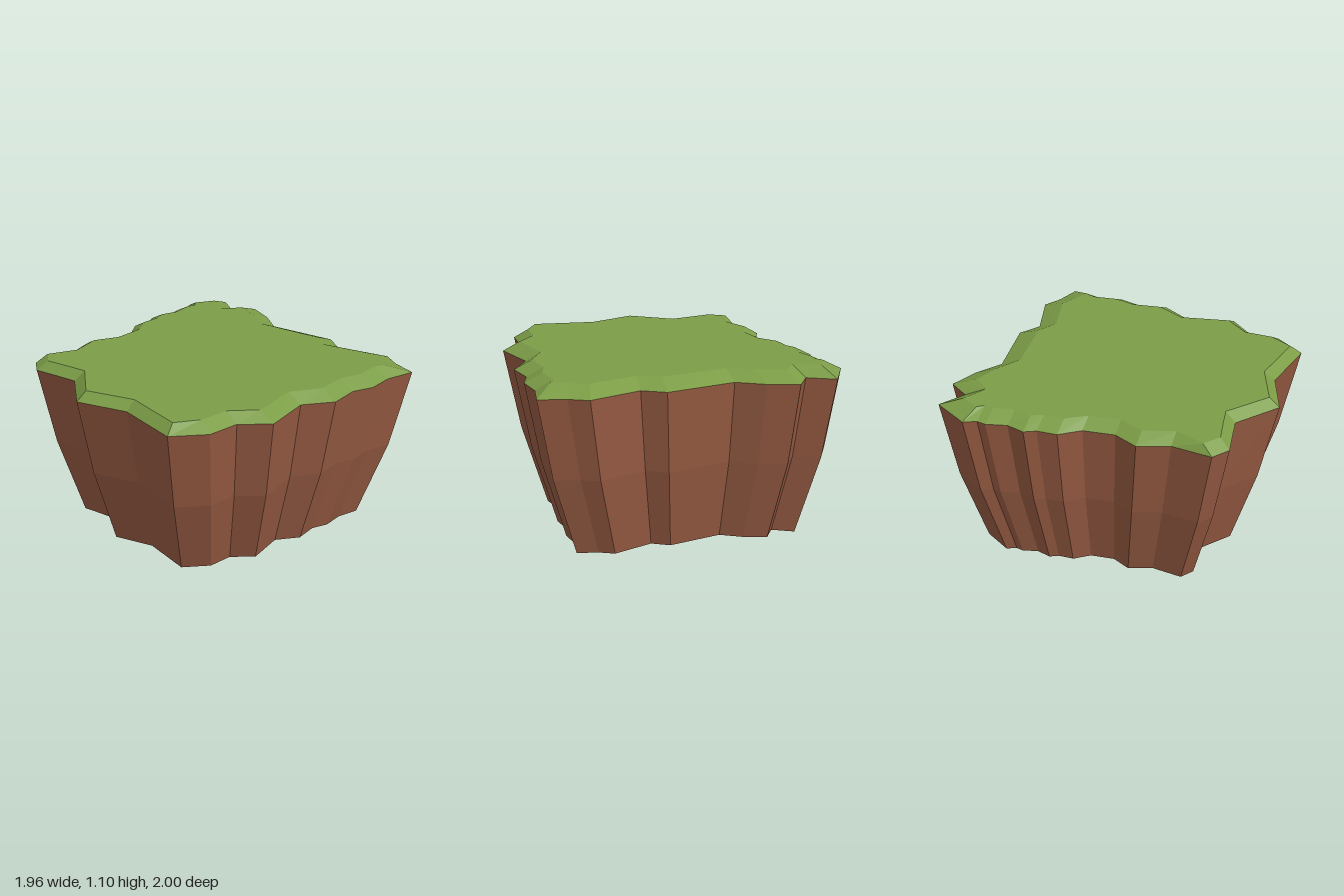
import * as THREE from 'three';

// Jagged outline at the rim, as x, z pairs, clockwise from above
const OUTLINE = [
  [-0.98, -0.71], [-0.85, -0.95], [-0.68, -0.86], [-0.59, -1.0], [-0.4, -0.94], [-0.23, -0.84],
  [0.22, -0.94], [0.36, -0.86], [0.69, -0.98], [0.81, -0.92], [0.98, -0.88], [0.95, -0.68],
  [0.98, -0.5], [0.94, -0.36], [0.98, -0.16], [0.87, 0.03], [0.96, 0.35], [0.82, 0.51],
  [0.82, 0.72], [0.68, 0.92], [0.25, 0.87], [-0.07, 1.0], [-0.35, 0.81], [-0.49, 0.84],
  [-0.66, 0.88], [-0.77, 0.81], [-0.75, 0.55], [-0.83, 0.36], [-0.76, 0.2], [-0.79, 0.0],
  [-0.89, -0.12], [-0.9, -0.25], [-0.94, -0.32], [-0.91, -0.44], [-0.95, -0.57], [-0.94, -0.63],
];

// The outline scaled, shifted and lifted to a height
const ring = (y, sx, ox, sz, oz) => OUTLINE.map(([x, z]) => [x * sx + ox, y, z * sz + oz]);

// Top edge: sides move inward in x, front and back mostly in z, with a wider bevel at the back
const bevel = (y) => OUTLINE.map(([x, z]) => {
  if (z > 0.8) return [x * 0.95, y, z - 0.07];
  if (z < -0.8) return [THREE.MathUtils.clamp(x * 0.95, -0.87, 0.87), y, z * 0.84];
  return [x * 0.885, y, THREE.MathUtils.clamp(z, -0.67, 0.7)];
});

// Faceted geometry from a list of triangle corners
function faceted(corners) {
  const geometry = new THREE.BufferGeometry();
  geometry.setAttribute('position', new THREE.Float32BufferAttribute(corners.flat(), 3));
  geometry.computeVertexNormals();
  return geometry;
}

// Walls joining rings from bottom to top
function loft(rings) {
  const corners = [];
  for (let r = 0; r < rings.length - 1; r++) {
    const low = rings[r], high = rings[r + 1];
    low.forEach((a, i) => {
      const j = (i + 1) % low.length;
      corners.push(low[j], a, high[i], low[j], high[i], high[j]);
    });
  }
  return faceted(corners);
}

// Flat cap over a ring, facing up (1) or down (-1)
function cap(points, facing) {
  const flat = points.map((p) => new THREE.Vector2(p[0], p[2]));
  const corners = [];
  for (const [a, b, c] of THREE.ShapeUtils.triangulateShape(flat, [])) {
    const area = THREE.ShapeUtils.area([flat[a], flat[b], flat[c]]);
    const order = area * facing < 0 ? [a, b, c] : [a, c, b];
    corners.push(...order.map((i) => points[i]));
  }
  return faceted(corners);
}

export function createModel() {
  const grass = new THREE.MeshStandardMaterial({ name: 'grass green', color: 0x7c9d47 });
  const earth = new THREE.MeshStandardMaterial({ name: 'earth brown', color: 0x985c43 });
  const stone = new THREE.MeshStandardMaterial({ name: 'underside tan', color: 0xac8b6f });

  const base = ring(0, 0.77, -0.028, 0.762, -0.035);
  const middle = ring(0.52, 0.915, -0.015, 0.905, -0.016);
  const rim = ring(1.04, 1, 0, 1, 0);
  const top = bevel(1.095);

  const model = new THREE.Group();
  model.name = 'grassyGroundBlock';
  const add = (name, geometry, material) => {
    const mesh = new THREE.Mesh(geometry, material);
    mesh.name = name;
    model.add(mesh);
  };
  add('earthWalls', loft([base, middle, rim]), earth);
  add('grassLip', loft([rim, top]), grass);
  add('grassTop', cap(top, 1), grass);
  add('underside', cap(base, -1), stone);
  return model;
}
